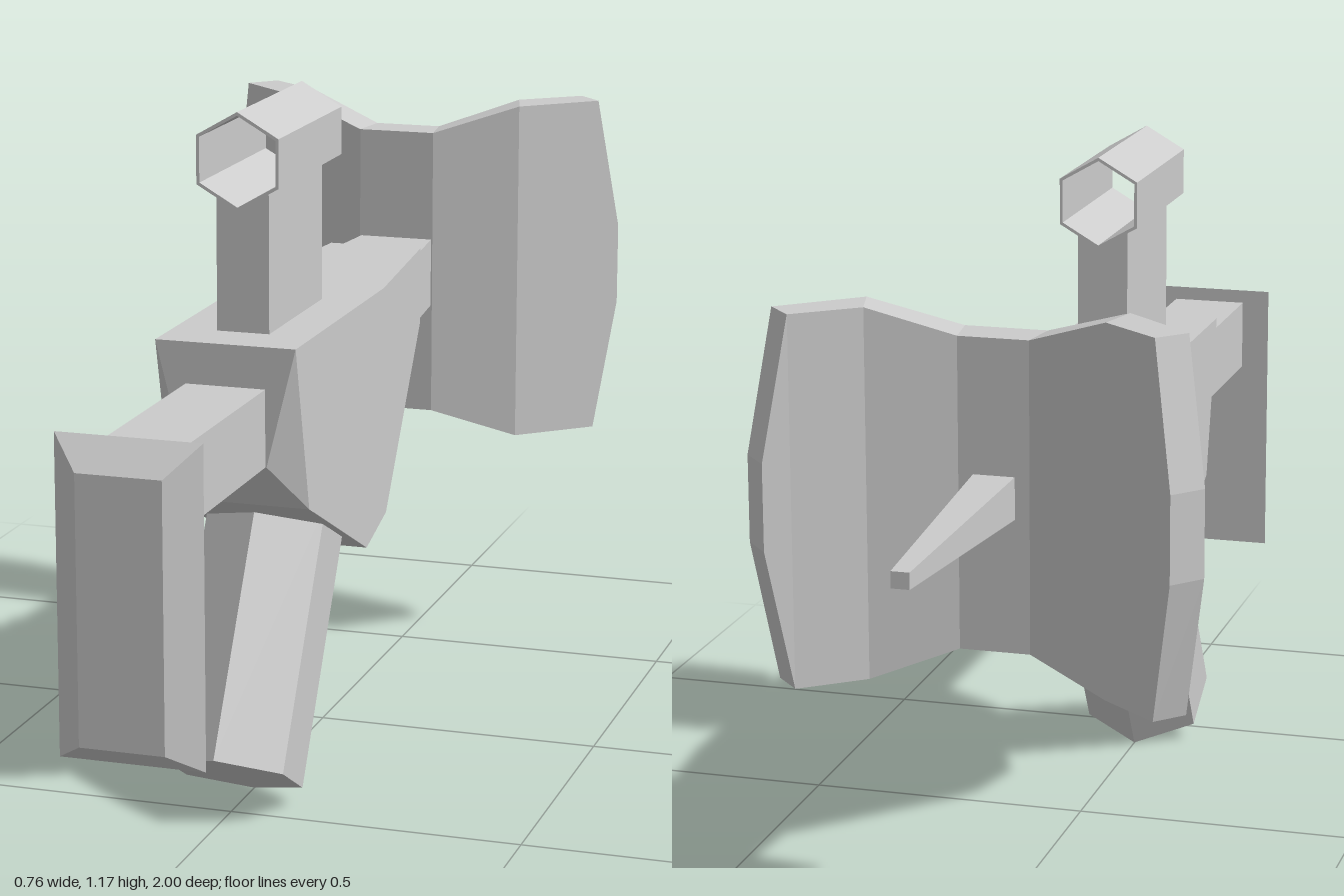
import * as THREE from 'three';
import { ConvexGeometry } from 'three/addons/geometries/ConvexGeometry.js';

const material = new THREE.MeshStandardMaterial({ color: 0xcccccc, flatShading: true });

function part(name, geometry) {
  const mesh = new THREE.Mesh(geometry, material);
  mesh.name = name;
  return mesh;
}

// Closed solid through rings of points, each counter-clockwise seen from the far end
function loft(rings) {
  const positions = [];
  const tri = (a, b, c) => positions.push(...a, ...b, ...c);
  const n = rings[0].length;
  for (let r = 0; r < rings.length - 1; r++) {
    const a = rings[r], b = rings[r + 1];
    for (let i = 0; i < n; i++) {
      const j = (i + 1) % n;
      tri(a[i], a[j], b[j]);
      tri(a[i], b[j], b[i]);
    }
  }
  const first = rings[0], last = rings[rings.length - 1];
  for (let i = 1; i < n - 1; i++) {
    tri(first[0], first[i + 1], first[i]);
    tri(last[0], last[i], last[i + 1]);
  }
  const geometry = new THREE.BufferGeometry();
  geometry.setAttribute('position', new THREE.Float32BufferAttribute(positions, 3));
  geometry.computeVertexNormals();
  return geometry;
}

// Rectangle of half-width w between heights y0 and y1
const rect = (w, y0, y1, z) => [[-w, y0, z], [w, y0, z], [w, y1, z], [-w, y1, z]];

function hexagon(shape, r, cy) {
  for (let i = 0; i < 6; i++) {
    const a = Math.PI / 2 + (i * Math.PI) / 3;
    shape[i ? 'lineTo' : 'moveTo'](r * Math.cos(a), cy + r * Math.sin(a));
  }
  shape.closePath();
  return shape;
}

function extrude(shape, z0, z1) {
  return new THREE.ExtrudeGeometry(shape, { depth: z1 - z0, bevelEnabled: false }).translate(0, 0, z0);
}

export function createModel() {
  const group = new THREE.Group();

  // Faceted main body, mirrored corner points
  const corners = [
    [0.12, 0.81, 0.515], [0.12, 0.81, 0.03], [0.085, 0.81, -0.315],
    [0.085, 0.67, -0.315], [0.12, 0.403, 0.01], [0.12, 0.37, 0.125],
    [0.12, 0.525, 0.445], [0.07, 0.61, 0.515], [0.08, 0.383, -0.03],
  ];
  const points = corners.flatMap(([x, y, z]) => [new THREE.Vector3(x, y, z), new THREE.Vector3(-x, y, z)]);
  group.add(part('body', new ConvexGeometry(points)));

  // Stock bar and chamfered end plate
  group.add(part('stockBar', loft([rect(0.068, 0.61, 0.74, 0.48), rect(0.068, 0.61, 0.74, 0.96)])));
  group.add(part('endPlate', loft([rect(0.12, 0.245, 0.765, 0.955), rect(0.07, 0.28, 0.715, 1.0)])));

  // Slanted hexagonal grip
  const grip = part('grip', new THREE.CylinderGeometry(0.119, 0.119, 0.46, 6));
  grip.rotation.x = -Math.PI / 6;
  grip.position.set(0, 0.264, 0.368);
  group.add(grip);

  // Sight: hollow hexagonal tube on a notched post
  const sightY = 1.097;
  const tube = hexagon(new THREE.Shape(), 0.081, sightY);
  tube.holes.push(hexagon(new THREE.Path(), 0.075, sightY));
  group.add(part('sightTube', extrude(tube, 0.115, 0.45)));
  const post = new THREE.Shape();
  post.moveTo(-0.045, 0.8);
  post.lineTo(0.045, 0.8);
  post.lineTo(0.045, 1.044);
  post.lineTo(0, 1.018);
  post.lineTo(-0.045, 1.044);
  post.closePath();
  group.add(part('sightPost', extrude(post, 0.145, 0.425)));

  // Neck between body and shield
  group.add(part('neck', loft([rect(0.066, 0.675, 0.8, -0.46), rect(0.081, 0.675, 0.8, -0.31)])));

  // Curved shield: front x, front z, back x, back z, half height
  const half = [
    [0.07, -0.445, 0.06, -0.52, 0.263],
    [0.22, -0.495, 0.2, -0.57, 0.312],
    [0.343, -0.604, 0.3, -0.65, 0.312],
    [0.378, -0.635, 0.335, -0.685, 0.073],
  ];
  const mirrored = half.map(([fx, fz, bx, bz, h]) => [-fx, fz, -bx, bz, h]).reverse();
  const cy = 0.737;
  const rings = [...mirrored, ...half].map(([fx, fz, bx, bz, h]) => [
    [fx, cy + h, fz], [fx, cy - h, fz], [bx, cy - h, bz], [bx, cy + h, bz],
  ]);
  group.add(part('shield', loft(rings)));

  // Tapered rear spike
  group.add(part('spike', loft([rect(0.015, 0.725, 0.752, -1), rect(0.036, 0.7, 0.773, -0.5)])));

  return group;
}
